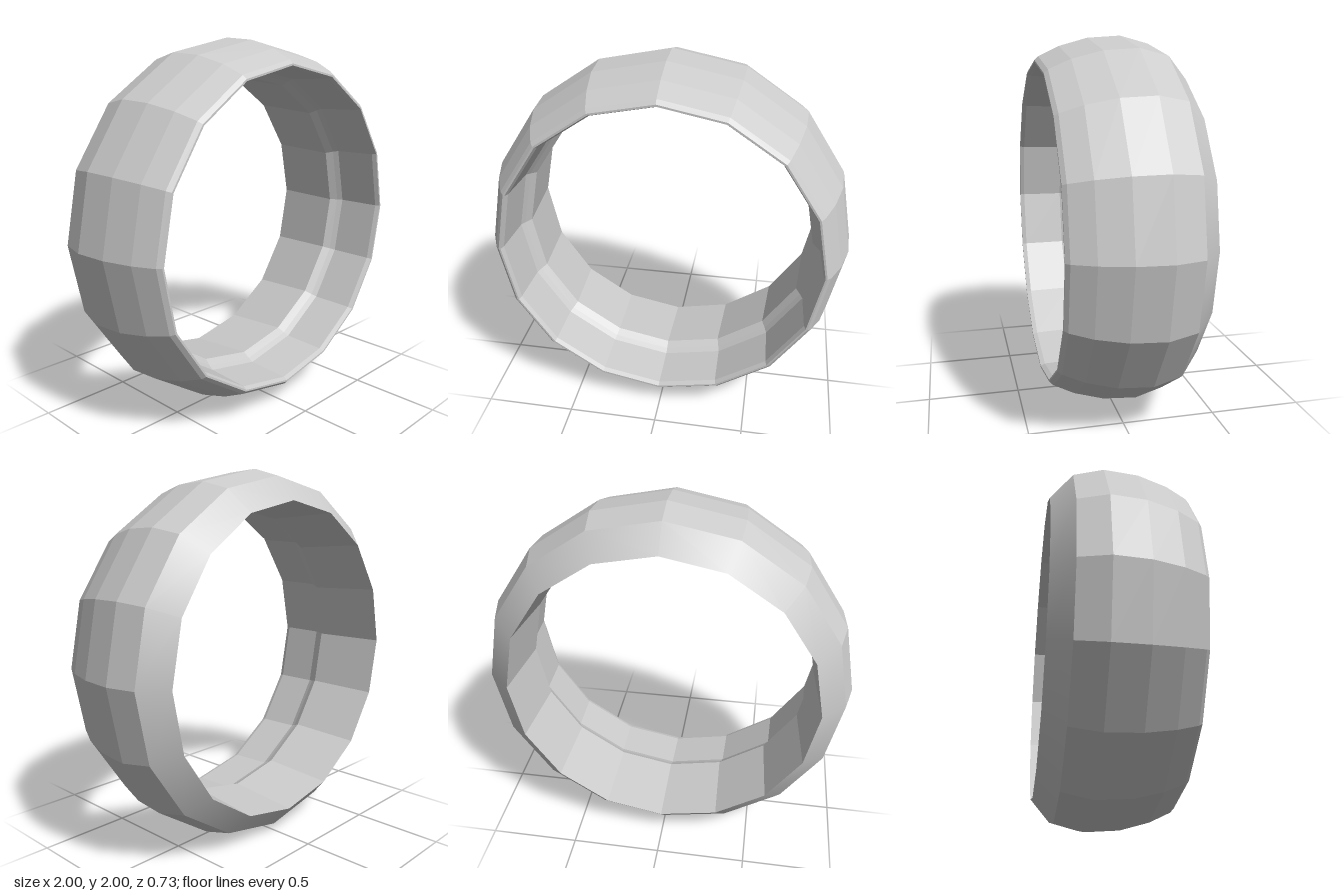
import * as THREE from 'three';

const SIDES = 16;

// Revolve a [radius, z] profile around the z axis
function ringBand(name, profile, flatShading) {
  const points = profile.map(([r, z]) => new THREE.Vector2(r, z));
  const geometry = new THREE.LatheGeometry(points, SIDES);
  geometry.rotateX(Math.PI / 2);
  const material = new THREE.MeshStandardMaterial({ color: 0xcccccc, flatShading, side: THREE.DoubleSide });
  const mesh = new THREE.Mesh(geometry, material);
  mesh.name = name;
  mesh.position.y = 1;
  return mesh;
}

export function createModel() {
  const group = new THREE.Group();
  group.name = 'ring';

  // Smooth bevel tapering to the sharp back edge
  group.add(ringBand('backBevel', [[0.835, -0.365], [0.96, -0.255]], false));

  // Faceted bulging outside
  group.add(ringBand('outerBand', [
    [0.96, -0.255], [1.0, -0.1], [0.987, 0.08], [0.943, 0.235], [0.89, 0.345], [0.87, 0.365],
  ], true));

  // Thin front lip
  group.add(ringBand('frontLip', [[0.87, 0.365], [0.86, 0.365], [0.85, 0.34]], true));

  // Inside wall with a stepped ridge halfway through
  group.add(ringBand('innerBand', [
    [0.85, 0.34], [0.84, 0.1], [0.825, 0.07], [0.8, 0.03], [0.835, -0.365],
  ], true));

  return group;
}
